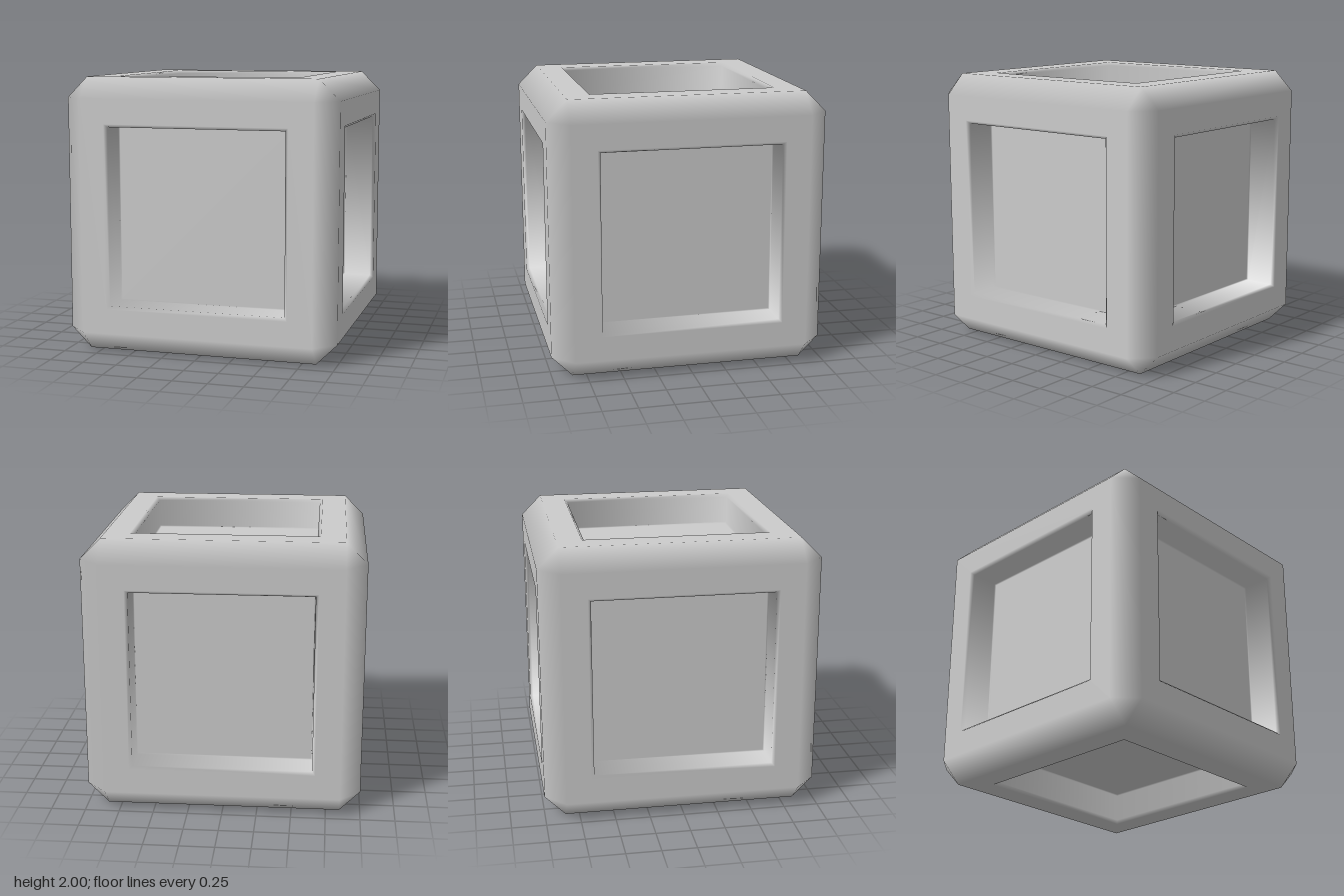
import * as THREE from 'three';

const H = 1;      // half size of the cube
const C = 0.85;   // where the edge chamfer begins
const AXES = [0, 1, 2].map((i) => new THREE.Vector3().setComponent(i, 1));
const SIGNS = [-1, 1];

// Collects triangles of { p, n } corners, wound to agree with their normals
function makeBuilder() {
  const pos = [], nor = [];
  const tri = (a, b, c) => {
    const g = b.p.clone().sub(a.p).cross(c.p.clone().sub(a.p));
    const n = a.n.clone().add(b.n).add(c.n);
    for (const v of g.dot(n) < 0 ? [a, c, b] : [a, b, c]) {
      pos.push(...v.p.toArray());
      nor.push(...v.n.toArray());
    }
  };
  const quad = (a, b, c, d) => { tri(a, b, c); tri(a, c, d); };
  const build = () => {
    const geo = new THREE.BufferGeometry();
    geo.setAttribute('position', new THREE.Float32BufferAttribute(pos, 3));
    geo.setAttribute('normal', new THREE.Float32BufferAttribute(nor, 3));
    return geo;
  };
  return { tri, quad, build };
}

// Corner of the chamfered cube lying on the face of the given axis
function cubeCorner(axis, signs) {
  const p = new THREE.Vector3(...signs).multiplyScalar(C);
  p.setComponent(axis, signs[axis] * H);
  return { p, n: AXES[axis].clone().multiplyScalar(signs[axis]) };
}

// Square ring on a face: half size, depth, and tilt of normals (0 = outward, 1 = inward wall)
function ring(axis, sign, half, depth, tilt) {
  const n = AXES[axis].clone().multiplyScalar(sign);
  const u = AXES[(axis + 1) % 3], v = AXES[(axis + 2) % 3];
  return [[-1, -1], [1, -1], [1, 1], [-1, 1]].map(([a, b]) => {
    const diagonal = u.clone().multiplyScalar(a).addScaledVector(v, b);
    return {
      p: diagonal.clone().multiplyScalar(half).addScaledVector(n, H - depth),
      n: n.clone().multiplyScalar(1 - tilt)
        .addScaledVector(diagonal.normalize(), -tilt).normalize(),
    };
  });
}

function joinRings(b, outer, inner) {
  for (let i = 0; i < 4; i++) {
    const j = (i + 1) % 4;
    b.quad(outer[i], outer[j], inner[j], inner[i]);
  }
}

export function createModel() {
  const group = new THREE.Group();
  group.name = 'recessedCube';
  const material = new THREE.MeshStandardMaterial({ color: 0xcccccc });
  const add = (name, builder) => {
    const mesh = new THREE.Mesh(builder.build(), material);
    mesh.name = name;
    mesh.position.y = H;
    group.add(mesh);
  };

  const frame = makeBuilder(), walls = makeBuilder(), floors = makeBuilder();

  // Six faces, each a flat border, a softened rim, a wall and a sunken floor
  for (let axis = 0; axis < 3; axis++) {
    for (const s of SIGNS) {
      const rim = ring(axis, s, 0.67, 0, 0);
      const lip = ring(axis, s, 0.648, 0.025, 0.85);
      const foot = ring(axis, s, 0.645, 0.23, 0.85);
      const floor = ring(axis, s, 0.637, 0.24, 0);
      joinRings(frame, ring(axis, s, C, 0, 0), rim);
      joinRings(walls, rim, lip);
      joinRings(walls, lip, foot);
      joinRings(walls, foot, floor);
      floors.quad(...floor);
    }
  }

  // Twelve chamfered edges with normals blending from face to face
  for (let k = 0; k < 3; k++) {
    const i = (k + 1) % 3, j = (k + 2) % 3;
    for (const si of SIGNS) for (const sj of SIGNS) {
      const at = (axis, sk) => {
        const signs = [];
        signs[i] = si; signs[j] = sj; signs[k] = sk;
        return cubeCorner(axis, signs);
      };
      frame.quad(at(i, -1), at(i, 1), at(j, 1), at(j, -1));
    }
  }

  // Eight cut corners
  for (const x of SIGNS) for (const y of SIGNS) for (const z of SIGNS) {
    frame.tri(...[0, 1, 2].map((axis) => cubeCorner(axis, [x, y, z])));
  }

  add('chamferedFrame', frame);
  add('recessWalls', walls);
  add('recessFloors', floors);
  return group;
}
